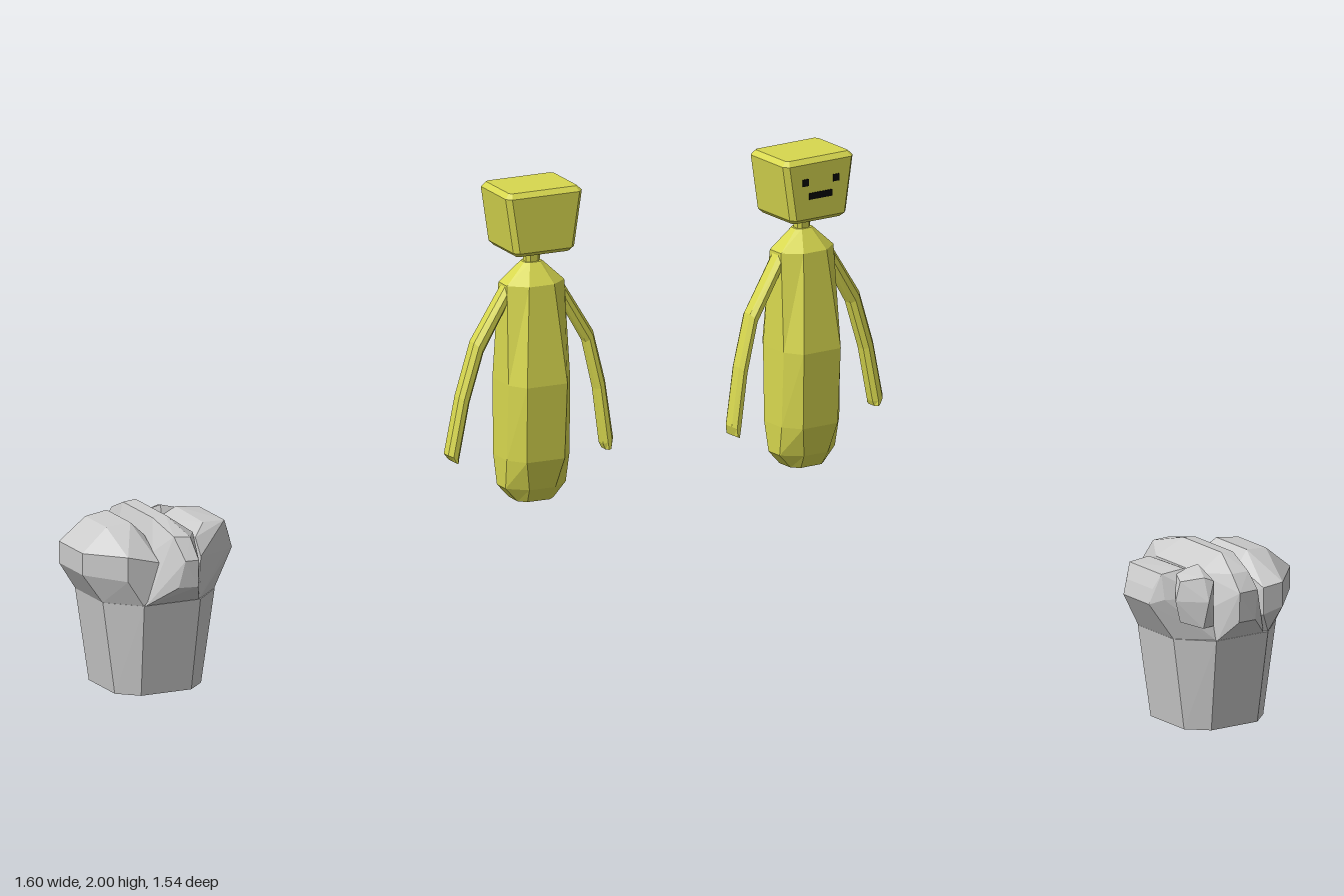
import * as THREE from 'three';
import { ConvexGeometry } from 'three/addons/geometries/ConvexGeometry.js';

const material = (color) => new THREE.MeshStandardMaterial({ color, flatShading: true });
const grey = material(0xcccccc);
const yellow = material(0xd8d84f);
const black = material(0x050505);

// Closed surface through equal-length rings, listed from bottom to top
function loft(rings) {
  const pos = [];
  const tri = (...p) => p.forEach((v) => pos.push(...v));
  const n = rings[0].length;
  for (let k = 0; k < rings.length - 1; k++) {
    const lo = rings[k], hi = rings[k + 1];
    for (let i = 0; i < n; i++) {
      const j = (i + 1) % n;
      tri(lo[i], hi[i], lo[j]);
      tri(lo[j], hi[i], hi[j]);
    }
  }
  const bottom = rings[0], top = rings[rings.length - 1];
  for (let i = 1; i < n - 1; i++) {
    tri(bottom[0], bottom[i], bottom[i + 1]);
    tri(top[0], top[i + 1], top[i]);
  }
  const geometry = new THREE.BufferGeometry();
  geometry.setAttribute('position', new THREE.Float32BufferAttribute(pos, 3));
  geometry.computeVertexNormals();
  return geometry;
}

// Rectangle with cut corners: half sizes hx, hz and half facet lengths bx, bz
const ring = (y, hx, hz, bx, bz) => [
  [hx, bz], [bx, hz], [-bx, hz], [-hx, bz], [-hx, -bz], [-bx, -hz], [bx, -hz], [hx, -bz],
].map(([x, z]) => [x, y, z]);

function add(parent, name, geometry, mat, x = 0, y = 0, z = 0) {
  const mesh = new THREE.Mesh(geometry, mat);
  mesh.name = name;
  mesh.position.set(x, y, z);
  parent.add(mesh);
}

// Arm through pairs of points on its +x and -x edges, from hand to shoulder
function arm(pairs) {
  return loft(pairs.map(([x1, y1, x0, y0]) =>
    [[1, 0.018], [0.7, 0.036], [0.3, 0.036], [0, 0.018], [0, -0.018], [0.3, -0.036], [0.7, -0.036], [1, -0.018]]
      .map(([t, z]) => [x0 + (x1 - x0) * t, y0 + (y1 - y0) * t, z])));
}

// Faceted lump: convex hull of corner points
const lump = (points) => new ConvexGeometry(points.map((p) => new THREE.Vector3(...p)));

export function createModel() {
  const model = new THREE.Group();

  // Figure, looking toward -z
  const figure = new THREE.Group();
  figure.name = 'figure';
  figure.position.set(0.481, 0, 0.637);
  model.add(figure);

  add(figure, 'body', loft([
    [0.838, 0.072, 0.06, 0.045, 0.035],
    [0.89, 0.12, 0.09, 0.052, 0.035],
    [1.0, 0.125, 0.118, 0.075, 0.055],
    [1.28, 0.123, 0.13, 0.08, 0.065],
    [1.64, 0.114, 0.085, 0.05, 0.035],
    [1.715, 0.036, 0.03, 0.02, 0.015],
  ].map((r) => ring(...r))), yellow);

  add(figure, 'neck', loft([
    ring(1.69, 0.026, 0.022, 0.015, 0.012),
    ring(1.79, 0.03, 0.026, 0.017, 0.015),
  ]), yellow);

  add(figure, 'head', loft([
    [1.762, 0.105, 0.1, 0.095, 0.092],
    [1.778, 0.121, 0.119, 0.103, 0.1],
    [1.982, 0.152, 0.119, 0.134, 0.1],
    [2.0, 0.135, 0.102, 0.125, 0.092],
  ].map((r) => ring(...r))), yellow);

  // Facial features
  for (const s of [-1, 1]) {
    add(figure, s > 0 ? 'leftEye' : 'rightEye', new THREE.BoxGeometry(0.026, 0.026, 0.006), black, s * 0.066, 1.915, -0.119);
  }
  add(figure, 'mouth', new THREE.BoxGeometry(0.1, 0.024, 0.006), black, 0, 1.862, -0.119);

  // Arms, relative to the body axis
  add(figure, 'leftArm', arm([
    [0.307, 0.99, 0.288, 0.982],
    [0.317, 1.025, 0.277, 1.005],
    [0.285, 1.24, 0.25, 1.21],
    [0.237, 1.43, 0.208, 1.39],
    [0.108, 1.64, 0.11, 1.56],
  ]), yellow);
  add(figure, 'rightArm', arm([
    [-0.303, 1.002, -0.32, 1.01],
    [-0.296, 1.02, -0.34, 1.035],
    [-0.256, 1.22, -0.297, 1.245],
    [-0.2, 1.4, -0.237, 1.44],
    [-0.108, 1.56, -0.11, 1.64],
  ]), yellow);

  // Cake: tapered cup with lumps swelling over its rim
  const cake = new THREE.Group();
  cake.name = 'cake';
  model.add(cake);

  add(cake, 'cup', loft([
    ring(0, 0.172, 0.172, 0.1, 0.105),
    ring(0.345, 0.223, 0.222, 0.112, 0.112),
  ]), grey, -0.507, 0, -0.48);

  add(cake, 'rightLump', lump([
    [-0.8, 0.53, -0.58], [-0.8, 0.53, -0.39], [-0.8, 0.45, -0.58], [-0.8, 0.45, -0.39],
    [-0.73, 0.345, -0.59], [-0.73, 0.345, -0.37], [-0.62, 0.345, -0.7], [-0.62, 0.345, -0.26],
    [-0.7, 0.613, -0.57], [-0.7, 0.613, -0.4], [-0.61, 0.623, -0.58], [-0.61, 0.623, -0.39],
    [-0.68, 0.53, -0.265], [-0.68, 0.44, -0.265], [-0.56, 0.5, -0.255], [-0.56, 0.4, -0.255],
    [-0.66, 0.53, -0.735], [-0.66, 0.44, -0.735], [-0.58, 0.52, -0.73], [-0.58, 0.42, -0.73],
    [-0.56, 0.575, -0.6], [-0.56, 0.575, -0.38], [-0.5, 0.345, -0.5],
  ]), grey);

  add(cake, 'middleLump', lump([
    [-0.53, 0.635, -0.61], [-0.53, 0.635, -0.37], [-0.48, 0.64, -0.61], [-0.48, 0.64, -0.37],
    [-0.565, 0.53, -0.6], [-0.565, 0.53, -0.3], [-0.39, 0.575, -0.6], [-0.39, 0.575, -0.33],
    [-0.52, 0.6, -0.22], [-0.46, 0.595, -0.21], [-0.5, 0.52, -0.165], [-0.45, 0.52, -0.16],
    [-0.52, 0.42, -0.18], [-0.45, 0.42, -0.165], [-0.61, 0.345, -0.26], [-0.4, 0.345, -0.26],
    [-0.52, 0.59, -0.72], [-0.45, 0.59, -0.72], [-0.53, 0.53, -0.765], [-0.45, 0.53, -0.77],
    [-0.52, 0.42, -0.765], [-0.45, 0.42, -0.765], [-0.6, 0.345, -0.7], [-0.4, 0.345, -0.7],
    [-0.39, 0.46, -0.67], [-0.39, 0.45, -0.27],
  ]), grey);

  add(cake, 'leftLump', lump([
    [-0.2, 0.48, -0.56], [-0.2, 0.48, -0.4], [-0.215, 0.535, -0.56], [-0.215, 0.535, -0.4],
    [-0.24, 0.59, -0.58], [-0.24, 0.59, -0.38], [-0.33, 0.6, -0.59], [-0.33, 0.595, -0.37],
    [-0.285, 0.345, -0.59], [-0.285, 0.345, -0.37], [-0.4, 0.345, -0.26], [-0.4, 0.345, -0.69],
    [-0.24, 0.5, -0.6], [-0.24, 0.48, -0.37], [-0.39, 0.5, -0.265], [-0.39, 0.56, -0.31],
    [-0.38, 0.5, -0.68], [-0.42, 0.56, -0.58],
  ]), grey);

  add(cake, 'backLump', lump([
    [-0.385, 0.57, -0.7], [-0.35, 0.585, -0.69], [-0.385, 0.61, -0.6], [-0.28, 0.57, -0.64],
    [-0.26, 0.5, -0.64], [-0.35, 0.5, -0.72], [-0.34, 0.4, -0.7], [-0.28, 0.42, -0.64],
    [-0.39, 0.4, -0.69], [-0.3, 0.59, -0.58], [-0.4, 0.45, -0.55],
  ]), grey);

  return model;
}
